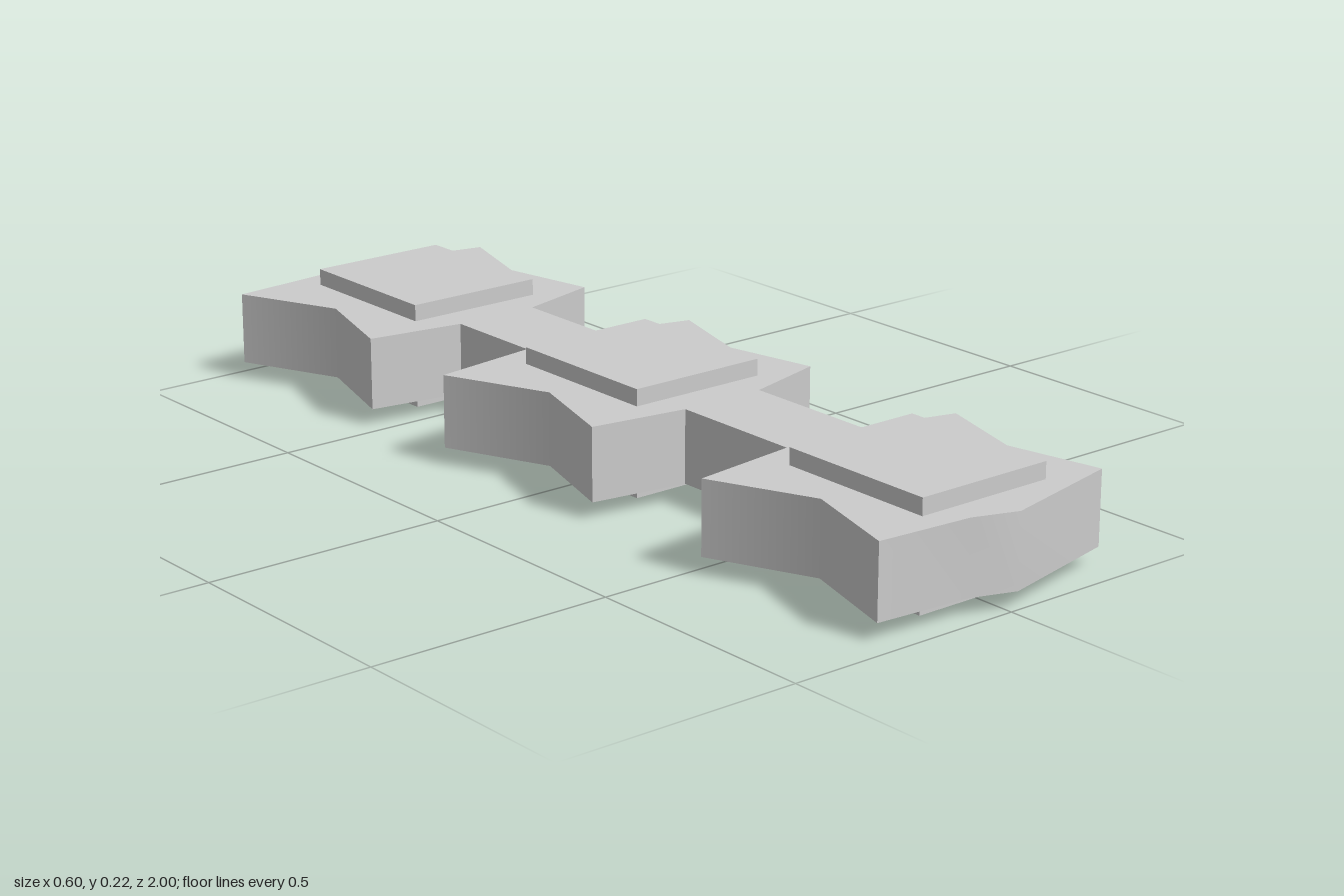
import * as THREE from 'three';
import { toCreasedNormals } from 'three/addons/utils/BufferGeometryUtils.js';

const material = new THREE.MeshStandardMaterial({ color: 0xcccccc });
const SLAB_BOTTOM = 0.035, SLAB_TOP = 0.183, HEIGHT = 0.217;

// Plan outline as [x, z]: the right-hand run goes back to front, the other returns
const plusSide = [
  [0.015, -1], [0.3, -0.937], [0.243, -0.748], [0.283, -0.548], [0.108, -0.5],
  [0.108, -0.278], [0.3, -0.227], [0.243, -0.032], [0.283, 0.16], [0.108, 0.209],
  [0.108, 0.495], [0.3, 0.547], [0.243, 0.738], [0.283, 0.936], [0.015, 1],
];
const minusSide = [
  [-0.075, 0.969], [-0.275, 0.954], [-0.21, 0.737], [-0.302, 0.525], [-0.075, 0.495],
  [-0.075, 0.209], [-0.275, 0.18], [-0.21, -0.032], [-0.302, -0.247], [-0.075, -0.278],
  [-0.075, -0.5], [-0.275, -0.53], [-0.21, -0.748], [-0.302, -0.958], [-0.075, -0.977],
];

function createSlab() {
  const shape = new THREE.Shape([...plusSide, ...minusSide].map(([x, z]) => new THREE.Vector2(x, z)));
  const geometry = new THREE.ExtrudeGeometry(shape, { depth: SLAB_TOP - SLAB_BOTTOM, bevelEnabled: false });
  geometry.rotateX(Math.PI / 2).translate(0, SLAB_TOP, 0);
  const slab = new THREE.Mesh(toCreasedNormals(geometry, 0.72), material);
  slab.name = 'linkedSlab';
  return slab;
}

function createPad(name, y0, y1, z) {
  const pad = new THREE.Mesh(new THREE.BoxGeometry(0.3, y1 - y0, 0.342), material);
  pad.position.set(0.015, (y0 + y1) / 2, z);
  pad.name = name;
  return pad;
}

export function createModel() {
  const model = new THREE.Group();
  model.name = 'threePadLink';
  model.add(createSlab());

  // A raised square pad on the top and underside of each segment
  [['back', -0.743], ['middle', -0.032], ['front', 0.741]].forEach(([label, z]) => {
    model.add(createPad(`${label}TopPad`, SLAB_TOP, HEIGHT, z));
    model.add(createPad(`${label}BottomPad`, 0, SLAB_BOTTOM, z));
  });
  return model;
}
